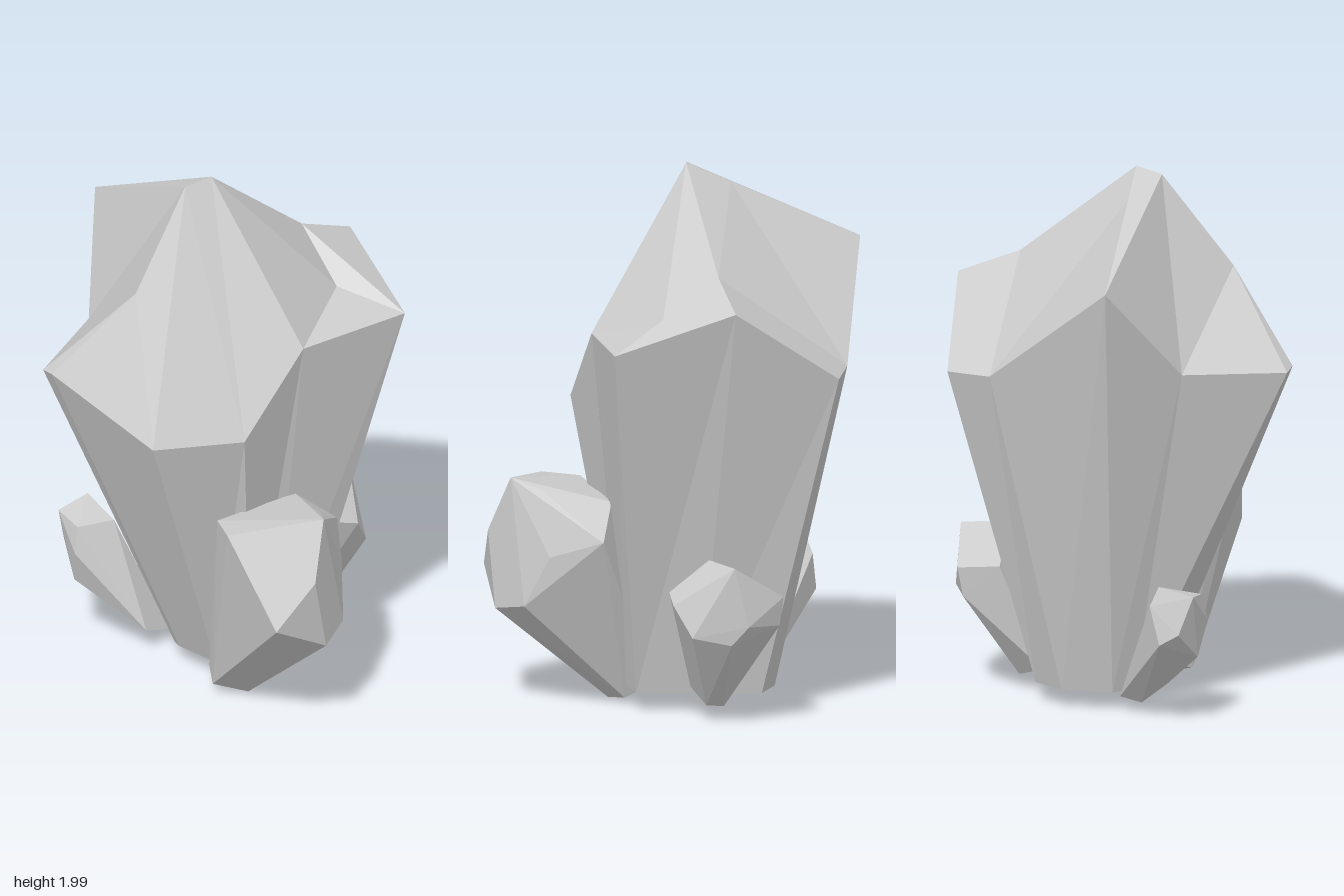
import * as THREE from 'three';
import { ConvexGeometry } from 'three/addons/geometries/ConvexGeometry.js';

const material = new THREE.MeshStandardMaterial({ color: 0xcccccc, flatShading: true });

// Joins matching rings of points, skips collapsed corners, closes the bottom.
function loft(rings) {
  const out = [];
  const tri = (a, b, c) => {
    const [p, q, r] = [a, b, c].map((v) => new THREE.Vector3(...v));
    if (new THREE.Triangle(p, q, r).getArea() > 1e-6) out.push(...a, ...b, ...c);
  };
  const n = rings[0].length;
  for (let r = 0; r < rings.length - 1; r++) {
    for (let i = 0; i < n; i++) {
      const j = (i + 1) % n;
      tri(rings[r][i], rings[r][j], rings[r + 1][j]);
      tri(rings[r][i], rings[r + 1][j], rings[r + 1][i]);
    }
  }
  for (let i = 1; i < n - 1; i++) tri(rings[0][0], rings[0][i + 1], rings[0][i]);
  const geometry = new THREE.BufferGeometry();
  geometry.setAttribute('position', new THREE.Float32BufferAttribute(out, 3));
  geometry.computeVertexNormals();
  return geometry;
}

// Faceted shard wrapped around its corner points.
function shard(points) {
  return new ConvexGeometry(points.map((p) => new THREE.Vector3(...p)));
}

// Main crystal: narrow foot, wide shoulder, uneven crown and a short summit edge.
function mainCrystal() {
  const foot = [
    [0.18, 0.22], [0.26, 0], [0.31, -0.22], [0.2, -0.3], [0.01, -0.31], [-0.06, -0.25],
    [-0.13, -0.12], [-0.14, -0.08], [-0.12, 0.1], [-0.04, 0.2], [0.05, 0.22],
  ].map(([x, z]) => [x, 0.08, z]);
  const shoulder = [
    [0.53, 1.42, 0.4], [0.63, 1.57, -0.03], [0.6, 1.3, -0.43], [0.43, 1.31, -0.51],
    [-0.03, 1.69, -0.69], [-0.27, 1.33, -0.44], [-0.63, 1.31, -0.27], [-0.64, 1.32, -0.21],
    [-0.51, 1.13, 0.21], [-0.2, 1.12, 0.36], [0.08, 1.41, 0.36],
  ];
  const peak = [-0.03, 2, -0.03];
  const peakSide = [-0.13, 1.98, -0.06];
  const peakBack = [-0.03, 1.92, -0.2];
  const ridge = [0.4, 1.66, -0.03];
  const dent = [0.39, 1.49, 0.18];
  const knee = [-0.39, 1.64, -0.03];
  const crown = [dent, ridge, ridge, ridge, peakBack, peakSide, knee, knee, knee, peakSide, peak];
  const summit = crown.map((p) => (p === knee || p === peakSide ? peakSide : peak));
  return loft([foot, shoulder, crown, summit]);
}

export function createModel() {
  const model = new THREE.Group();
  const add = (name, geometry) => {
    const mesh = new THREE.Mesh(geometry, material);
    mesh.name = name;
    model.add(mesh);
  };

  add('mainCrystal', mainCrystal());

  // Side crystals: foot corners first, then the flared head.
  add('frontCrystal', shard([
    [-0.2, 0.05, 0.18], [-0.09, 0.01, 0.25], [0.03, 0.03, 0.22], [0.05, 0.08, 0.12], [-0.15, 0.08, 0.1],
    [-0.3, 0.49, 0.66], [-0.08, 0.37, 0.68], [0.06, 0.4, 0.61], [0.12, 0.59, 0.53], [0.24, 0.66, 0.36],
    [0.1, 0.78, 0.29], [-0.34, 0.81, 0.43], [-0.28, 0.8, 0.3],
    [-0.14, 0.65, 0.69], [-0.05, 0.86, 0.63], [0.02, 0.82, 0.53],
  ]));

  add('leftCrystal', shard([
    [0.31, 0.12, 0.05], [0.41, 0.07, 0.02], [0.4, 0.06, -0.05], [0.3, 0.1, -0.12],
    [0.41, 0.5, 0.16], [0.5, 0.47, 0.17], [0.58, 0.36, 0.12], [0.61, 0.33, -0.02], [0.63, 0.4, -0.08],
    [0.6, 0.5, -0.22], [0.58, 0.39, -0.21], [0.45, 0.5, -0.18], [0.45, 0.62, 0.02], [0.62, 0.62, -0.03],
  ]));

  add('backCrystal', shard([
    [-0.04, 0.05, -0.25], [-0.1, 0.05, -0.32], [-0.18, 0.1, -0.22], [-0.02, 0.07, -0.32],
    [-0.33, 0.27, -0.45], [-0.21, 0.34, -0.575], [-0.28, 0.38, -0.57], [-0.36, 0.4, -0.41],
    [-0.17, 0.48, -0.55], [-0.2, 0.5, -0.38], [-0.34, 0.5, -0.42], [-0.33, 0.52, -0.54], [-0.2, 0.55, -0.53],
  ]));

  return model;
}
